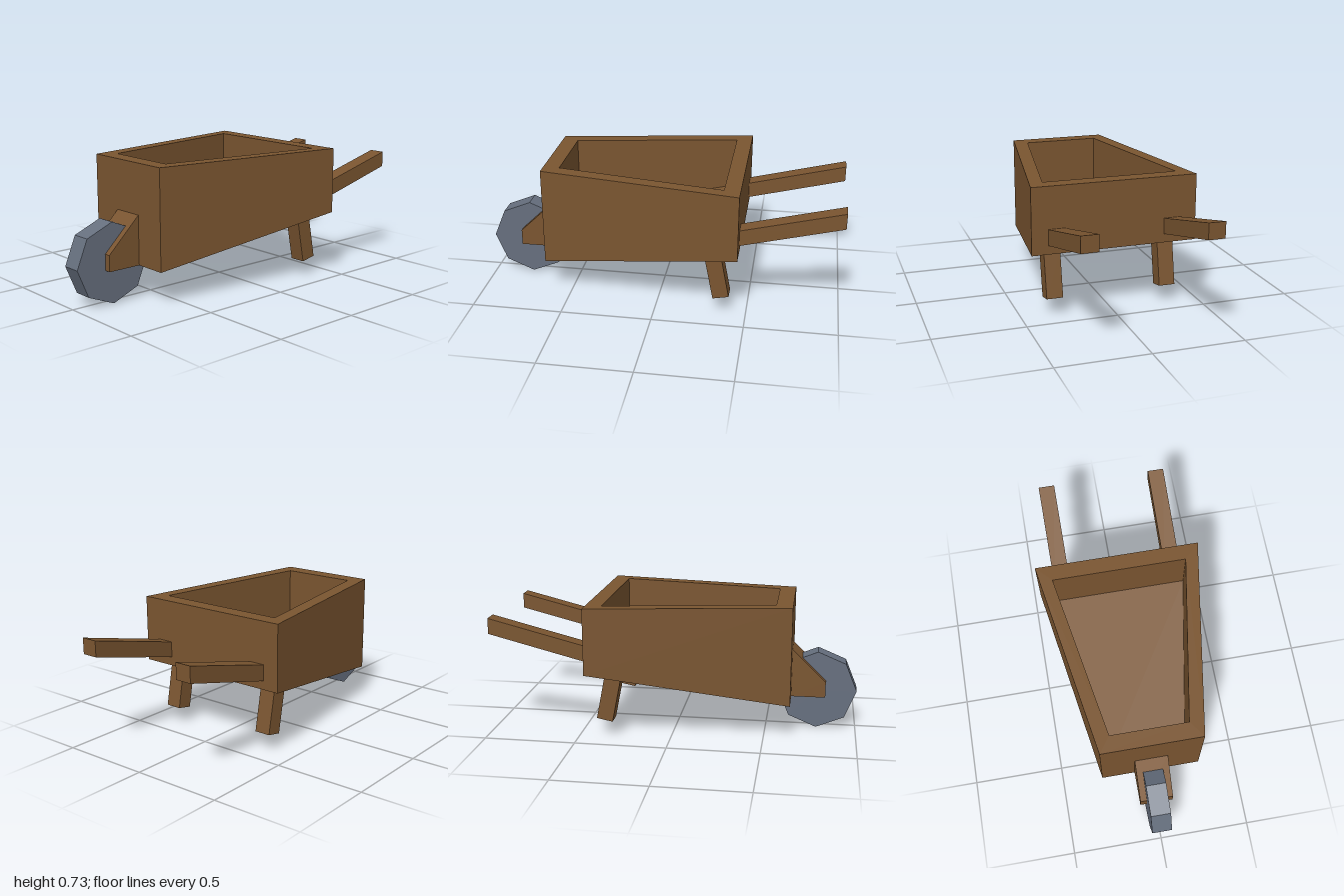
import * as THREE from 'three';

const wood = new THREE.MeshStandardMaterial({ color: 0x7a5530 });
wood.name = 'brown wood';
const iron = new THREE.MeshStandardMaterial({ color: 0x666f7e });
iron.name = 'blue grey iron';

// Side profile given as [z, y] points, extruded across x and centred on x
function beam(name, profile, width, x = 0) {
  const shape = new THREE.Shape(profile.map(([z, y]) => new THREE.Vector2(z, y)));
  const geometry = new THREE.ExtrudeGeometry(shape, { depth: width, bevelEnabled: false });
  geometry.translate(0, 0, -width / 2).rotateY(-Math.PI / 2);
  const mesh = new THREE.Mesh(geometry, wood);
  mesh.name = name;
  mesh.position.x = x;
  return mesh;
}

// Four-cornered loop, anticlockwise seen from above
function loop(frontZ, frontHalf, frontY, backZ, backHalf, backY) {
  return [
    [-frontHalf, frontY, frontZ], [frontHalf, frontY, frontZ],
    [backHalf, backY, backZ], [-backHalf, backY, backZ],
  ];
}

// Hollow tapered tray with a sloping bottom
function makeTray() {
  const loops = [
    loop(0.64, 0.275, 0.187, -0.452, 0.455, 0.367),
    loop(0.64, 0.275, 0.732, -0.452, 0.455, 0.732),
    loop(0.55, 0.21, 0.732, -0.365, 0.37, 0.732),
    loop(0.55, 0.21, 0.295, -0.365, 0.37, 0.446),
  ];
  const points = [];
  const quad = (a, b, c, d) => points.push(...a, ...b, ...c, ...a, ...c, ...d);
  for (let r = 0; r < loops.length - 1; r++) {
    for (let i = 0; i < 4; i++) {
      const j = (i + 1) % 4;
      quad(loops[r][i], loops[r][j], loops[r + 1][j], loops[r + 1][i]);
    }
  }
  quad(...loops[3]);
  quad(...[...loops[0]].reverse());
  const geometry = new THREE.BufferGeometry();
  geometry.setAttribute('position', new THREE.Float32BufferAttribute(points, 3));
  geometry.computeVertexNormals();
  const mesh = new THREE.Mesh(geometry, wood);
  mesh.name = 'tray';
  return mesh;
}

export function createModel() {
  const model = new THREE.Group();
  model.name = 'wheelbarrow';
  model.add(makeTray());

  // Wedge that carries the wheel
  model.add(beam('wheelBracket', [[0.64, 0.187], [0.828, 0.187], [0.828, 0.275], [0.64, 0.457]], 0.182));

  // Eight-sided wheel
  const wheelGeometry = new THREE.CylinderGeometry(0.219, 0.219, 0.11, 8).toNonIndexed();
  wheelGeometry.rotateZ(Math.PI / 2);
  wheelGeometry.computeVertexNormals();
  const wheel = new THREE.Mesh(wheelGeometry, iron);
  wheel.name = 'wheel';
  wheel.position.set(0, 0.219, 0.781);
  model.add(wheel);

  // Handles and legs on both sides
  for (const [side, sign] of [['left', 1], ['right', -1]]) {
    model.add(beam(side + 'Handle', [[-1, 0.553], [-0.45, 0.414], [-0.45, 0.502], [-1, 0.64]], 0.09, sign * 0.32));
    model.add(beam(side + 'Leg', [[-0.405, 0.1], [-0.318, 0.083], [-0.268, 0.338], [-0.356, 0.353]], 0.09, sign * 0.32));
  }
  return model;
}
